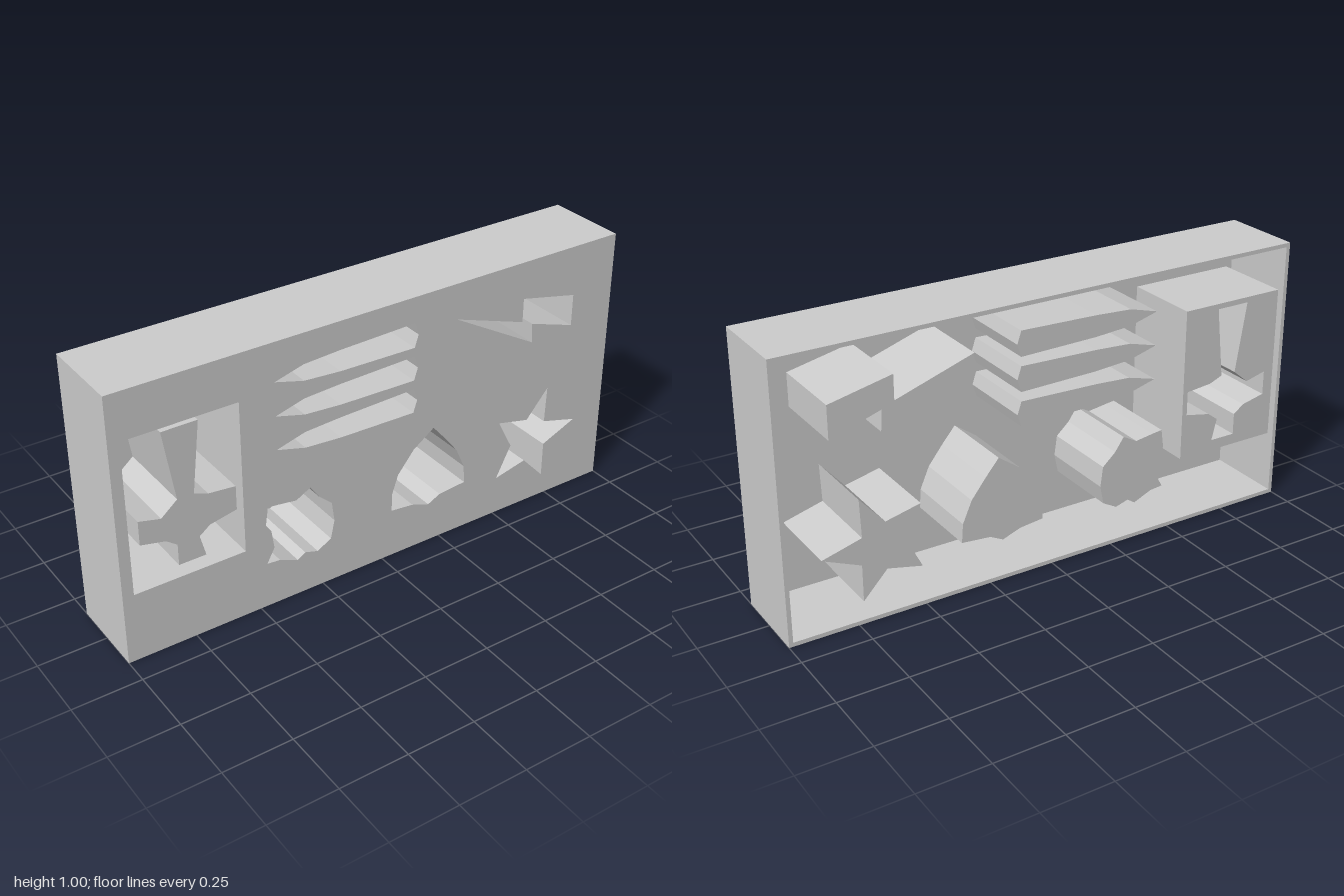
import * as THREE from 'three';

const FRONT = 0.155, BACK = -0.155, SKIN = 0.015;
const solid = new THREE.MeshStandardMaterial({ color: 0xcccccc });
const sheet = new THREE.MeshStandardMaterial({ color: 0xcccccc, side: THREE.DoubleSide });

const toPoints = (list) => list.map(([x, y]) => new THREE.Vector2(x, y));
const rect = (x0, y0, x1, y1) => toPoints([[x0, y0], [x1, y0], [x1, y1], [x0, y1]]);

// Pointed round with a slightly domed base, tip towards -x
const round = (y) => toPoints([
  [-0.42, y], [-0.31, y - 0.03], [-0.17, y - 0.04], [0.125, y - 0.046],
  [0.14, y], [0.125, y + 0.046], [-0.17, y + 0.038], [-0.31, y + 0.03],
]);

const pocket = rect(-0.96, 0.26, -0.55, 0.83);
const hilt = toPoints([
  [-0.82, 0.81], [-0.69, 0.81], [-0.72, 0.55], [-0.67, 0.53], [-0.57, 0.52], [-0.57, 0.43],
  [-0.67, 0.41], [-0.71, 0.38], [-0.69, 0.3], [-0.79, 0.3], [-0.79, 0.38], [-0.83, 0.41],
  [-0.92, 0.43], [-0.92, 0.52], [-0.84, 0.5], [-0.78, 0.55],
]);

const cavities = {
  boltCavity: toPoints([
    [0.3, 0.866], [0.64, 0.675], [0.635, 0.75], [0.82, 0.69], [0.82, 0.81], [0.59, 0.86], [0.59, 0.77],
  ]),
  starCavity: toPoints([
    [0.73, 0.46], [0.725, 0.32], [0.87, 0.28], [0.73, 0.22], [0.73, 0.085],
    [0.64, 0.18], [0.51, 0.15], [0.57, 0.27], [0.51, 0.385], [0.64, 0.355],
  ]),
  shellCavity: toPoints([
    [0.214, 0.47], [0.13, 0.41], [0.065, 0.33], [0.04, 0.256], [0.04, 0.19], [0.13, 0.18],
    [0.2, 0.155], [0.25, 0.18], [0.36, 0.19], [0.355, 0.26], [0.32, 0.34], [0.265, 0.41],
  ]),
  lumpCavity: toPoints([
    [-0.46, 0.4], [-0.42, 0.395], [-0.35, 0.385], [-0.295, 0.415], [-0.26, 0.365], [-0.21, 0.32],
    [-0.2, 0.245], [-0.215, 0.175], [-0.27, 0.145], [-0.32, 0.16], [-0.35, 0.14], [-0.42, 0.17],
    [-0.47, 0.175], [-0.44, 0.23], [-0.45, 0.3], [-0.47, 0.33],
  ]),
  upperRoundCavity: round(0.858),
  middleRoundCavity: round(0.733),
  lowerRoundCavity: round(0.607),
};

function add(group, name, geometry, material) {
  const mesh = new THREE.Mesh(geometry, material);
  mesh.name = name;
  group.add(mesh);
  return mesh;
}

// Straight wall following a closed outline between two depths
function wallGeometry(points, zA, zB) {
  const pos = [];
  points.forEach((a, i) => {
    const b = points[(i + 1) % points.length];
    pos.push(a.x, a.y, zA, b.x, b.y, zA, b.x, b.y, zB);
    pos.push(a.x, a.y, zA, b.x, b.y, zB, a.x, a.y, zB);
  });
  const geometry = new THREE.BufferGeometry();
  geometry.setAttribute('position', new THREE.Float32BufferAttribute(pos, 3));
  geometry.computeVertexNormals();
  return geometry;
}

// Outline with cut-outs, lying flat at depth z
function flatGeometry(points, z, holes = []) {
  const shape = new THREE.Shape(points);
  shape.holes = holes.map((h) => new THREE.Path(h));
  return new THREE.ShapeGeometry(shape).translate(0, 0, z);
}

function plateGeometry(points, holes, z, depth) {
  const shape = new THREE.Shape(points);
  shape.holes = holes.map((h) => new THREE.Path(h));
  return new THREE.ExtrudeGeometry(shape, { depth, bevelEnabled: false }).translate(0, 0, z);
}

export function createModel() {
  const model = new THREE.Group();
  model.name = 'mouldTray';

  // Outer frame, open at the back, and the face plate pierced by every cavity
  const inner = rect(-1 + SKIN, SKIN, 1 - SKIN, 1 - SKIN);
  add(model, 'frame', plateGeometry(rect(-1, 0, 1, 1), [inner], BACK, FRONT - BACK), solid);
  add(model, 'facePlate',
    plateGeometry(inner, [pocket, ...Object.values(cavities)], FRONT - SKIN, SKIN), solid);

  // Deep cavities hanging behind the plate
  for (const [name, points] of Object.entries(cavities)) {
    const cavity = new THREE.Group();
    cavity.name = name;
    add(cavity, 'cavityWall', wallGeometry(points, FRONT - SKIN, BACK), sheet);
    add(cavity, 'cavityFloor', flatGeometry(points, BACK), sheet);
    model.add(cavity);
  }

  // Rectangular pocket with a raised hollow hilt standing on its floor
  const pocketGroup = new THREE.Group();
  pocketGroup.name = 'hiltPocket';
  add(pocketGroup, 'pocketWall', wallGeometry(pocket, FRONT - SKIN, BACK), sheet);
  add(pocketGroup, 'pocketFloor', flatGeometry(pocket, BACK, [hilt]), sheet);
  add(pocketGroup, 'hiltWall', wallGeometry(hilt, BACK, FRONT - 0.01), sheet);
  add(pocketGroup, 'hiltTop', flatGeometry(hilt, FRONT - 0.01), sheet);
  model.add(pocketGroup);

  return model;
}
